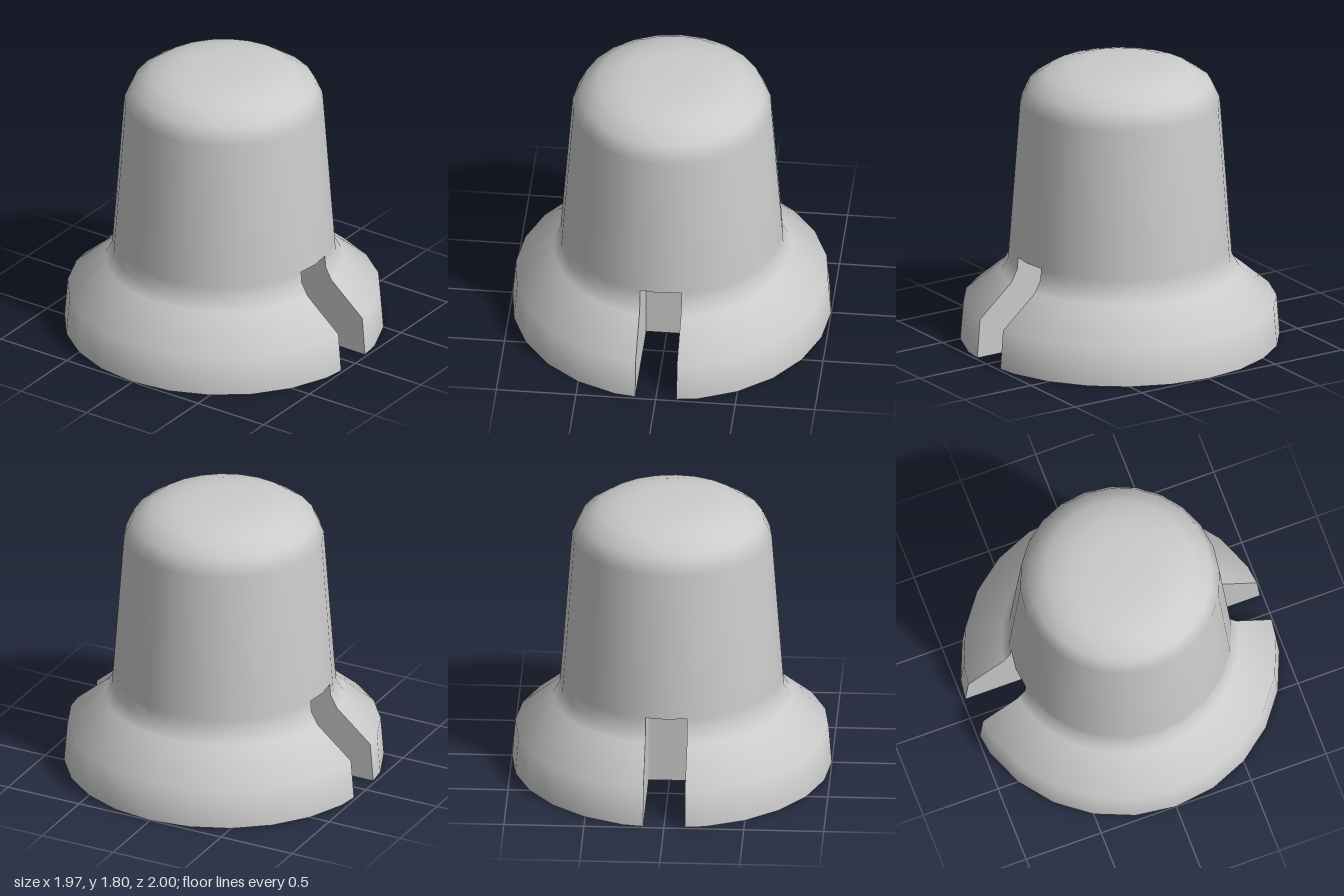
import * as THREE from 'three';

const SIDES = 24;
const STEP = (Math.PI * 2) / SIDES;
const HALF = 0.13;   // half width of a slot
const INNER = 0.31;  // x of the slot's closed end
const TOP = 0.605;   // height of the slot's ceiling
const CUT_R = 0.695; // body radius at that height

const v2 = ([x, y]) => new THREE.Vector2(x, y);
const skirt = [[1, 0], [0.98, 0.25], [0.745, 0.45], [0.7, 0.53], [CUT_R, TOP]];
const crown = [[CUT_R, TOP], [0.625, 1.56], [0.575, 1.67], [0.465, 1.745],
  [0.335, 1.785], [0.2, 1.8], [0, 1.805]];

// x where the facet beside the x axis meets the slot wall, for a ring of radius r
const edgeX = (r) => r - (HALF / Math.sin(STEP)) * (1 - Math.cos(STEP));

export function createModel() {
  const group = new THREE.Group();
  const material = new THREE.MeshStandardMaterial({ color: 0xcccccc });

  const add = (name, geometry, parent = group) => {
    const mesh = new THREE.Mesh(geometry, material);
    mesh.name = name;
    parent.add(mesh);
    return mesh;
  };
  const flat = (points) => new THREE.ShapeGeometry(new THREE.Shape(points.map(v2)));

  // Tapered body with rounded top
  add('body', new THREE.LatheGeometry(crown.map(v2), SIDES));

  // Flared skirt halves, their end columns pulled onto the slot walls
  const half = new THREE.LatheGeometry(skirt.map(v2), SIDES / 2, -Math.PI / 2, Math.PI);
  const pos = half.attributes.position;
  const nor = half.attributes.normal;
  const n = skirt.length;
  for (const [column, side] of [[0, -1], [SIDES / 2, 1]]) {
    for (let j = 0; j < n; j++) {
      const i = column * n + j;
      const x = edgeX(skirt[j][0]) * side;
      const radial = Math.abs(nor.getX(i)) / Math.hypot(x, HALF);
      pos.setX(i, x);
      pos.setZ(i, HALF);
      nor.setXYZ(i, x * radial, nor.getY(i), HALF * radial);
    }
  }
  add('frontSkirt', half);
  add('backSkirt', half).rotation.y = Math.PI;

  // Underside outline: two arcs joined by the slot notches
  const outline = [];
  for (const s of [1, -1]) {
    outline.push([s * INNER, s * HALF], [s * edgeX(1), s * HALF]);
    for (let k = 1; k < SIDES / 2; k++) {
      outline.push([s * Math.cos(k * STEP), s * Math.sin(k * STEP)]);
    }
    outline.push([-s * edgeX(1), s * HALF], [-s * INNER, s * HALF]);
  }
  add('underside', flat(outline).rotateX(Math.PI / 2));

  // Slots on the left and right
  const cheek = [[INNER, 0], ...skirt.map(([r, y]) => [edgeX(r), y]), [INNER, TOP]];
  const ceiling = [[INNER, -HALF], [edgeX(CUT_R), -HALF], [CUT_R, 0],
    [edgeX(CUT_R), HALF], [INNER, HALF]];
  const wallA = flat(cheek).translate(0, 0, -HALF);
  const wallB = flat(cheek.map(([x, y]) => [-x, y])).rotateY(Math.PI).translate(0, 0, HALF);
  const roof = flat(ceiling).rotateX(Math.PI / 2).translate(0, TOP, 0);
  const end = new THREE.PlaneGeometry(HALF * 2, TOP).rotateY(Math.PI / 2)
    .translate(INNER, TOP / 2, 0);
  for (const [name, turn] of [['leftSlot', 0], ['rightSlot', Math.PI]]) {
    const slot = new THREE.Group();
    slot.name = name;
    slot.rotation.y = turn;
    add('slotWallA', wallA, slot);
    add('slotWallB', wallB, slot);
    add('slotCeiling', roof, slot);
    add('slotEnd', end, slot);
    group.add(slot);
  }
  return group;
}
